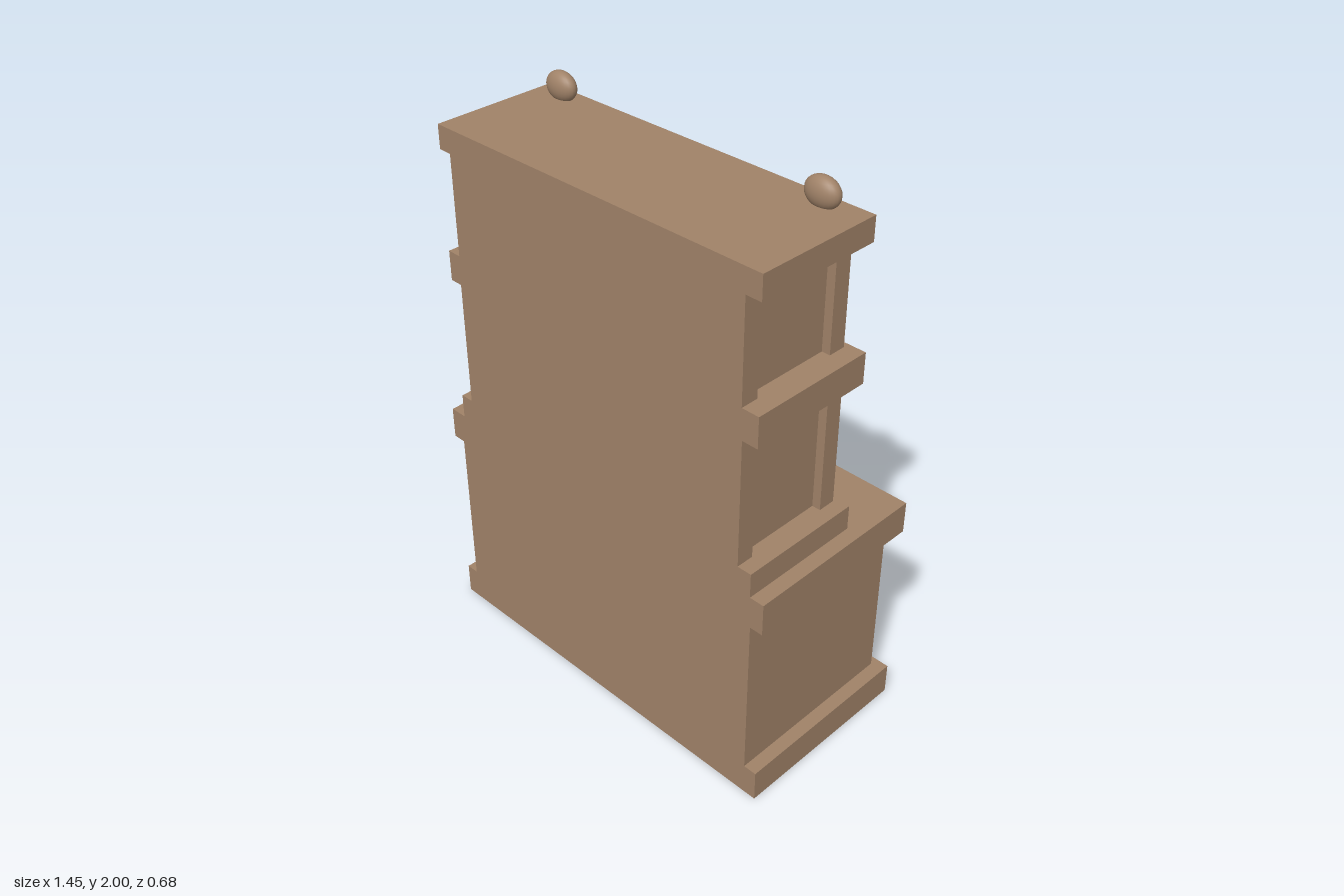
import * as THREE from 'three';

export function createModel() {
  const model = new THREE.Group();
  const wood = new THREE.MeshStandardMaterial({ color: 0xa08268 });
  const teal = new THREE.MeshStandardMaterial({ color: 0x6bb3a3, side: THREE.DoubleSide });
  wood.name = 'wood';
  teal.name = 'curtainTeal';

  const add = (name, geometry, material = wood) => {
    const mesh = new THREE.Mesh(geometry, material);
    mesh.name = name;
    model.add(mesh);
    return mesh;
  };
  // Box given by its limits on each axis
  const box = (name, x0, x1, y0, y1, z0, z1) => {
    const mesh = add(name, new THREE.BoxGeometry(x1 - x0, y1 - y0, z1 - z0));
    mesh.position.set((x0 + x1) / 2, (y0 + y1) / 2, (z0 + z1) / 2);
    return mesh;
  };
  const back = 0.343, backInner = 0.28;

  // Horizontal slabs
  box('baseSlab', -0.725, 0.72, 0, 0.115, -0.34, back);
  box('counter', -0.725, 0.72, 0.715, 0.83, -0.34, back);
  box('counterStep', -0.66, 0.667, 0.83, 0.918, -0.108, back);
  box('middleShelf', -0.657, 0.673, 1.37, 1.477, -0.115, back);
  box('topSlab', -0.653, 0.667, 1.83, 1.913, -0.115, back);

  // Lower cabinet, open towards -z
  box('lowerSideRight', -0.677, -0.56, 0.115, 0.715, -0.31, back);
  box('lowerSideLeft', 0.56, 0.672, 0.115, 0.715, -0.31, back);
  box('lowerBack', -0.56, 0.56, 0.115, 0.715, backInner, back);

  // Two upper tiers: back board, front posts and recessed side panels
  for (const [tier, y0, y1, xr, xl] of [
    ['rack', 0.918, 1.37, -0.61, 0.615],
    ['cupboard', 1.477, 1.83, -0.605, 0.61],
  ]) {
    box(tier + 'Back', xr, xl, y0, y1, backInner, back);
    box(tier + 'PostRight', xr, -0.45, y0, y1, -0.093, -0.03);
    box(tier + 'PostLeft', 0.45, xl, y0, y1, -0.093, -0.03);
    box(tier + 'PanelRight', xr + 0.03, -0.45, y0, y1, -0.03, backInner);
    box(tier + 'PanelLeft', 0.45, xl - 0.03, y0, y1, -0.03, backInner);
  }
  box('cupboardDoor', -0.45, 0.45, 1.477, 1.83, -0.073, -0.03);

  // Crossed rack boards, clipped to the opening
  const slope = 0.42, yMid = 1.144, halfH = 0.226, halfW = 0.45;
  for (const m of [slope, -slope]) {
    for (let k = -2; k <= 2; k++) {
      const c = k * 0.19;
      const ends = [(-halfH - c) / m, (halfH - c) / m].sort((a, b) => a - b);
      const x0 = Math.max(-halfW, ends[0]), x1 = Math.min(halfW, ends[1]);
      if (x1 - x0 < 0.05) continue;
      const length = (x1 - x0) * Math.hypot(1, m);
      const board = add('rackBoard', new THREE.BoxGeometry(length, 0.016, 0.35));
      board.position.set((x0 + x1) / 2, yMid + c + (m * (x0 + x1)) / 2, 0.105);
      board.rotation.z = Math.atan(m);
    }
  }

  // Bracket handle: profile runs outwards from the door, extruded sideways
  const profile = new THREE.Shape([
    [0, -0.09], [0.033, -0.09], [0.042, -0.078], [0.042, 0.078], [0.033, 0.09], [0, 0.09],
    [0, 0.06], [0.018, 0.045], [0.018, -0.045], [0, -0.06],
  ].map(([x, y]) => new THREE.Vector2(x, y)));
  const handle = add('doorHandle', new THREE.ExtrudeGeometry(profile, { depth: 0.06, bevelEnabled: false }));
  handle.rotation.y = Math.PI / 2;
  handle.position.set(-0.375, 1.657, -0.071);

  // Wavy half curtain
  const x0 = -0.59, x1 = 0.6;
  const curtain = new THREE.PlaneGeometry(x1 - x0, 0.325, 100, 1);
  const p = curtain.attributes.position;
  for (let i = 0; i < p.count; i++) {
    const u = p.getX(i) / (x1 - x0) + 0.5;
    p.setZ(i, -0.29 - 0.033 * Math.cos(u * Math.PI * 10));
  }
  curtain.computeVertexNormals();
  add('curtain', curtain, teal).position.set((x0 + x1) / 2, 0.5525, 0);

  // Flattened finials on top
  for (const x of [-0.54, 0.522]) {
    const finial = add('finial', new THREE.SphereGeometry(1, 24, 16));
    finial.scale.set(0.062, 0.05, 0.035);
    finial.position.set(x, 1.95, -0.062);
  }
  return model;
}
